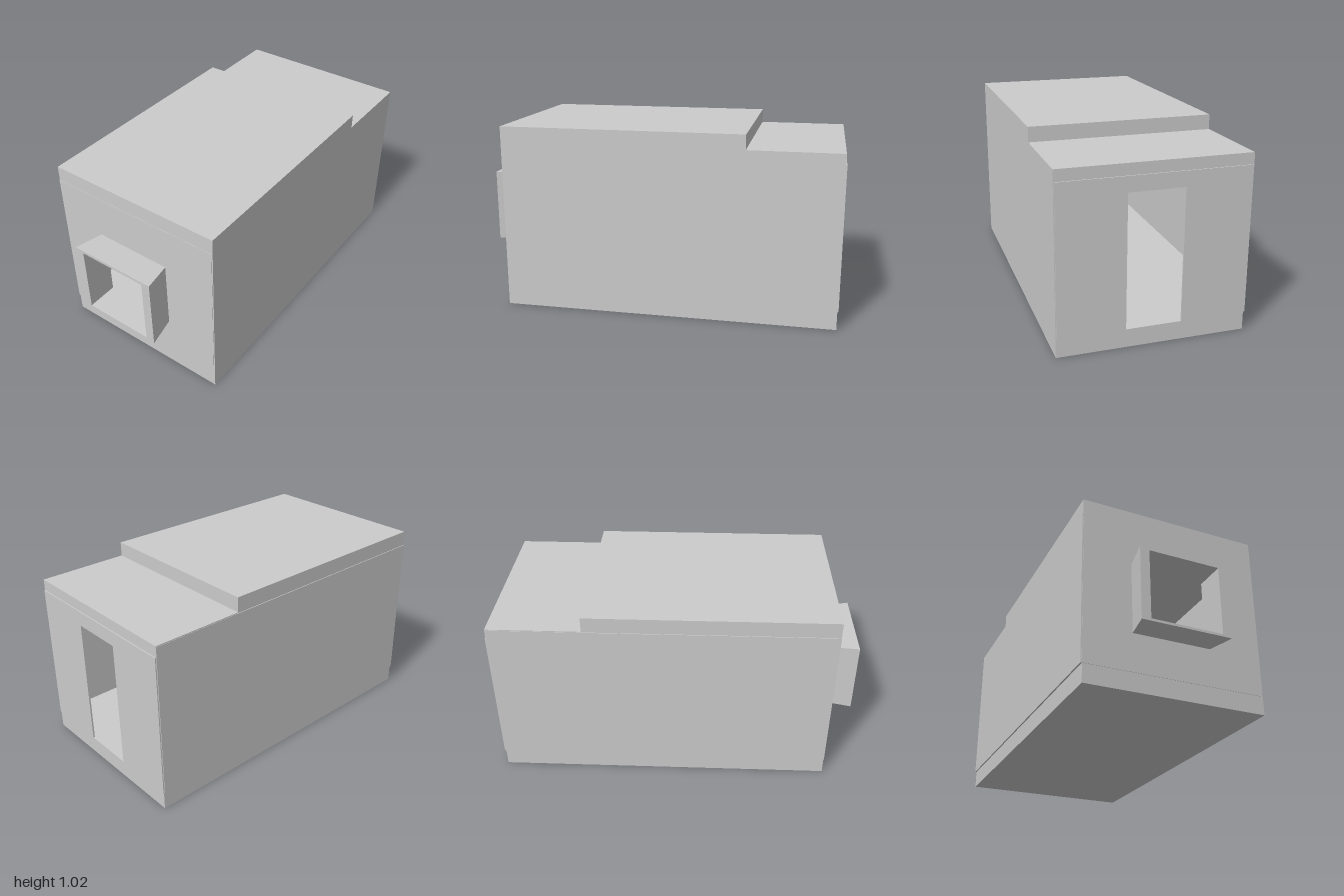
import * as THREE from 'three';

const material = new THREE.MeshStandardMaterial({ color: 0xcccccc, flatShading: true });

export function createModel() {
  const model = new THREE.Group();
  const add = (name, geometry) => {
    const mesh = new THREE.Mesh(geometry, material);
    mesh.name = name;
    model.add(mesh);
    return mesh;
  };

  // Box given by its limits on each axis
  const block = (name, [x0, x1], [y0, y1], [z0, z1]) => {
    const mesh = add(name, new THREE.BoxGeometry(x1 - x0, y1 - y0, z1 - z0));
    mesh.position.set((x0 + x1) / 2, (y0 + y1) / 2, (z0 + z1) / 2);
  };

  const outline = (points) => points.map(([a, b]) => new THREE.Vector2(a, b));
  const rect = (a0, a1, b0, b1) => outline([[a0, b0], [a1, b0], [a1, b1], [a0, b1]]);

  // Thin end wall across z with a rectangular opening
  const endWall = (name, x, thickness, wall, opening) => {
    const shape = new THREE.Shape(wall);
    shape.holes.push(new THREE.Path(opening));
    const geometry = new THREE.ExtrudeGeometry(shape, { depth: thickness, bevelEnabled: false });
    geometry.rotateY(Math.PI / 2); // shape x becomes -z
    add(name, geometry).position.x = x;
  };

  // Floor slab and the two roof levels
  block('floorSlab', [-0.84, 0.99], [0, 0.1], [-0.49, 0.49]);
  block('highRoof', [-0.84, 0.49], [0.935, 1.02], [-0.494, 0.496]);
  block('lowRoof', [0.49, 0.99], [0.85, 0.94], [-0.496, 0.496]);

  // Back wall between floor and roof
  block('backWall', [-0.84, 0.99], [0.1, 0.935], [-0.498, -0.49]);

  // Stepped front wall covering floor and roof edges
  const front = new THREE.Shape(outline([
    [-0.84, 0], [0.99, 0], [0.99, 0.94], [0.49, 0.94], [0.49, 1.02], [-0.84, 1.02],
  ]));
  add('frontWall', new THREE.ExtrudeGeometry(front, { depth: 0.008, bevelEnabled: false }))
    .position.z = 0.49;

  // End walls with doorway and window
  endWall('doorWall', 0.987, 0.009, rect(-0.494, 0.494, 0.1, 0.88), rect(-0.145, 0.145, 0.1, 0.8));
  endWall('windowWall', -0.842, 0.01, rect(-0.492, 0.492, 0.1, 0.935), rect(-0.18, 0.21, 0.313, 0.69));

  // Window surround: flared outside, straight inside
  const ring = (x, z0, z1, y0, y1) => [[x, y0, z0], [x, y0, z1], [x, y1, z1], [x, y1, z0]];
  const rings = [
    ring(-0.84, -0.23, 0.2, 0.308, 0.696),
    ring(-1, -0.26, 0.23, 0.3, 0.705),
    ring(-1, -0.21, 0.18, 0.313, 0.69),
    ring(-0.832, -0.21, 0.18, 0.313, 0.69),
  ];
  const positions = [];
  for (let r = 0; r < 3; r++) {
    for (let i = 0; i < 4; i++) {
      const j = (i + 1) % 4;
      const [a, b, c, d] = [rings[r][i], rings[r][j], rings[r + 1][j], rings[r + 1][i]];
      positions.push(...a, ...d, ...c, ...a, ...c, ...b);
    }
  }
  const surround = new THREE.BufferGeometry();
  surround.setAttribute('position', new THREE.Float32BufferAttribute(positions, 3));
  surround.computeVertexNormals();
  const frame = add('windowSurround', surround);
  frame.material = material.clone();
  frame.material.side = THREE.DoubleSide;

  return model;
}
